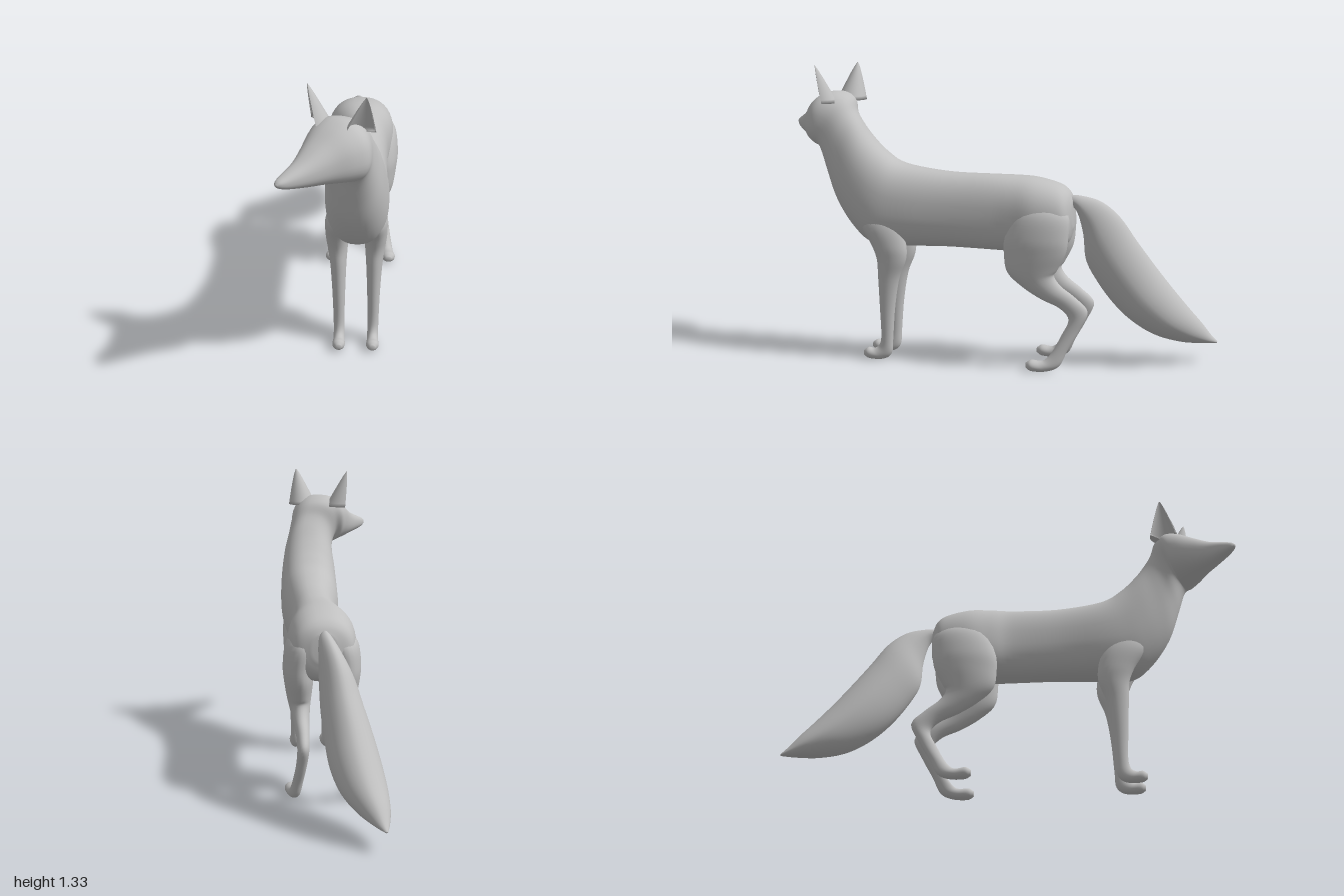
import * as THREE from 'three';

const MID = 0.065; // x of the body's middle plane
const fur = new THREE.MeshStandardMaterial({ color: 0xc0c0c0 });
fur.name = 'grey fur';

// Closed smooth skin over rings of points, with a centre point at each end
function skin(name, rings) {
  const n = rings[0].length, pos = [], idx = [];
  rings.forEach(r => r.forEach(p => pos.push(p.x, p.y, p.z)));
  for (let i = 0; i < rings.length - 1; i++) {
    for (let j = 0; j < n; j++) {
      const a = i * n + j, b = i * n + (j + 1) % n;
      idx.push(a, b, b + n, a, b + n, a + n);
    }
  }
  [0, rings.length - 1].forEach((i, end) => {
    const c = new THREE.Vector3();
    rings[i].forEach(p => c.addScaledVector(p, 1 / n));
    const k = pos.length / 3;
    pos.push(c.x, c.y, c.z);
    for (let j = 0; j < n; j++) {
      const a = i * n + j, b = i * n + (j + 1) % n;
      if (end) idx.push(k, a, b); else idx.push(k, b, a);
    }
  });
  const g = new THREE.BufferGeometry();
  g.setAttribute('position', new THREE.Float32BufferAttribute(pos, 3));
  g.setIndex(idx);
  g.computeVertexNormals();
  const mesh = new THREE.Mesh(g, fur);
  mesh.name = name;
  return mesh;
}

// Loft; each row is [x, half width, y and z of one edge, y and z of the other, yaw]
function loft(name, rows, power = 2, sides = 32, steps = 5) {
  const curve = f => new THREE.CatmullRomCurve3(rows.map(f), false, 'catmullrom', 0.5);
  const edgeA = curve(r => new THREE.Vector3(r[0], r[2], r[3]));
  const edgeB = curve(r => new THREE.Vector3(r[0], r[4], r[5]));
  const shape = curve(r => new THREE.Vector3(r[1], r[6] || 0, 0));
  const round = v => Math.sign(v) * Math.abs(v) ** (2 / power);
  const rings = [], count = (rows.length - 1) * steps;
  for (let i = 0; i <= count; i++) {
    const a = edgeA.getPoint(i / count), b = edgeB.getPoint(i / count), s = shape.getPoint(i / count);
    const mid = a.clone().add(b).multiplyScalar(0.5), up = a.sub(mid);
    const side = new THREE.Vector3(Math.cos(s.y), 0, Math.sin(s.y)).multiplyScalar(Math.max(s.x, 0.002));
    rings.push(Array.from({ length: sides }, (_, j) => {
      const t = j / sides * Math.PI * 2;
      return mid.clone().addScaledVector(side, round(Math.cos(t))).addScaledVector(up, round(Math.sin(t)));
    }));
  }
  return skin(name, rings);
}

// Pointed ear with a hollow on the side it faces
function ear(name, base, tip, facing) {
  const f = new THREE.Vector3(Math.sin(facing), 0, Math.cos(facing));
  const s = new THREE.Vector3(f.z, 0, -f.x);
  const rings = [];
  for (let i = 0; i <= 10; i++) {
    const t = i / 10, r = 0.066 * (1 - t) ** 0.85 + 0.002;
    const c = base.clone().lerp(tip, t);
    rings.push(Array.from({ length: 24 }, (_, j) => {
      const a = -j / 24 * Math.PI * 2, y = Math.sin(a);
      const depth = y > 0 ? 0.4 - 0.6 * y : 0.4 + 1.1 * y;
      return c.clone().addScaledVector(s, r * Math.cos(a)).addScaledVector(f, r * depth);
    }));
  }
  return skin(name, rings);
}

export function createModel() {
  const model = new THREE.Group();
  model.name = 'fox';

  // Rump to shoulders, neck and turned head in one skin
  model.add(loft('bodyAndHead', [
    [MID, 0.05, 0.76, -0.368, 0.64, -0.372],
    [MID, 0.115, 0.80, -0.345, 0.57, -0.35],
    [MID, 0.14, 0.83, -0.30, 0.54, -0.30],
    [MID, 0.15, 0.855, -0.20, 0.52, -0.20],
    [0.07, 0.13, 0.862, -0.10, 0.52, -0.10],
    [0.08, 0.112, 0.865, 0, 0.525, 0],
    [0.078, 0.113, 0.87, 0.20, 0.53, 0.20],
    [0.07, 0.13, 0.90, 0.40, 0.525, 0.40],
    [0.07, 0.135, 0.955, 0.49, 0.53, 0.54],
    [0.068, 0.13, 1.02, 0.555, 0.60, 0.63],
    [0.065, 0.118, 1.08, 0.60, 0.72, 0.71],
    [0.053, 0.107, 1.13, 0.635, 0.85, 0.755, 0.1],
    [0.033, 0.112, 1.185, 0.665, 0.95, 0.78, 0.3],
    [0.008, 0.134, 1.213, 0.73, 0.965, 0.79, 0.5],
    [-0.03, 0.12, 1.197, 0.785, 0.975, 0.82, 0.55],
    [-0.085, 0.084, 1.15, 0.845, 0.985, 0.86, 0.58],
    [-0.14, 0.054, 1.105, 0.905, 0.997, 0.91, 0.62],
    [-0.195, 0.034, 1.075, 0.957, 1.012, 0.957, 0.65],
    [-0.222, 0.02, 1.06, 0.985, 1.025, 0.982, 0.65],
    [-0.232, 0.006, 1.047, 0.996, 1.038, 0.995, 0.65],
  ], 2.3, 40));

  // Ears
  model.add(ear('leftEar', new THREE.Vector3(0.078, 1.165, 0.76), new THREE.Vector3(0.112, 1.333, 0.803), 0.35));
  model.add(ear('rightEar', new THREE.Vector3(-0.072, 1.165, 0.69), new THREE.Vector3(-0.125, 1.333, 0.675), -1.35));

  // Legs, from hip or shoulder down to the paw; first column is the offset from the middle
  const frontLeg = [
    [0.065, 0.03, 0.73, 0.58, 0.73, 0.46],
    [0.08, 0.05, 0.64, 0.595, 0.63, 0.40],
    [0.083, 0.05, 0.54, 0.54, 0.54, 0.378],
    [0.081, 0.044, 0.47, 0.515, 0.47, 0.38],
    [0.078, 0.035, 0.39, 0.511, 0.38, 0.413],
    [0.076, 0.028, 0.25, 0.505, 0.25, 0.434],
    [0.075, 0.024, 0.12, 0.50, 0.11, 0.445],
    [0.074, 0.024, 0.07, 0.51, 0.035, 0.452],
    [0.074, 0.025, 0.053, 0.535, 0.005, 0.49],
    [0.074, 0.027, 0.055, 0.562, 0.004, 0.555],
    [0.074, 0.012, 0.042, 0.582, 0.018, 0.582],
  ];
  const hindLeg = [
    [0.075, 0.03, 0.77, -0.17, 0.77, -0.29],
    [0.088, 0.07, 0.70, -0.11, 0.70, -0.36],
    [0.103, 0.069, 0.60, -0.078, 0.60, -0.362],
    [0.102, 0.064, 0.52, -0.075, 0.53, -0.35],
    [0.10, 0.054, 0.44, -0.09, 0.46, -0.315],
    [0.098, 0.045, 0.375, -0.16, 0.43, -0.30],
    [0.096, 0.036, 0.325, -0.24, 0.385, -0.33],
    [0.093, 0.029, 0.285, -0.325, 0.335, -0.395],
    [0.095, 0.026, 0.235, -0.365, 0.275, -0.45],
    [0.102, 0.024, 0.165, -0.335, 0.19, -0.415],
    [0.115, 0.024, 0.09, -0.295, 0.10, -0.365],
    [0.125, 0.025, 0.057, -0.265, 0.03, -0.33],
    [0.13, 0.027, 0.051, -0.24, 0.005, -0.275],
    [0.135, 0.031, 0.055, -0.205, 0.004, -0.21],
    [0.135, 0.014, 0.042, -0.182, 0.018, -0.182],
  ];
  for (const [side, sign] of [['left', 1], ['right', -1]]) {
    const place = rows => rows.map(([dx, ...rest]) => [MID + sign * dx, ...rest]);
    model.add(loft(side + 'FrontLeg', place(frontLeg), 2, 24));
    model.add(loft(side + 'HindLeg', place(hindLeg), 2, 24));
  }

  // Bushy tail, swung to one side, with a faint ridge along it
  model.add(loft('tail', [
    [0.062, 0.015, 0.745, -0.345, 0.778, -0.335],
    [0.06, 0.032, 0.70, -0.385, 0.777, -0.40],
    [0.045, 0.052, 0.60, -0.41, 0.75, -0.49],
    [0.022, 0.076, 0.48, -0.42, 0.68, -0.57],
    [0.003, 0.093, 0.38, -0.47, 0.57, -0.645],
    [-0.02, 0.105, 0.28, -0.54, 0.45, -0.73],
    [-0.04, 0.109, 0.20, -0.62, 0.35, -0.805],
    [-0.066, 0.098, 0.135, -0.72, 0.26, -0.875],
    [-0.095, 0.07, 0.10, -0.83, 0.19, -0.93],
    [-0.12, 0.034, 0.09, -0.93, 0.13, -0.972],
    [-0.135, 0.006, 0.09, -0.998, 0.097, -1.0],
  ], 1.8));

  return model;
}
